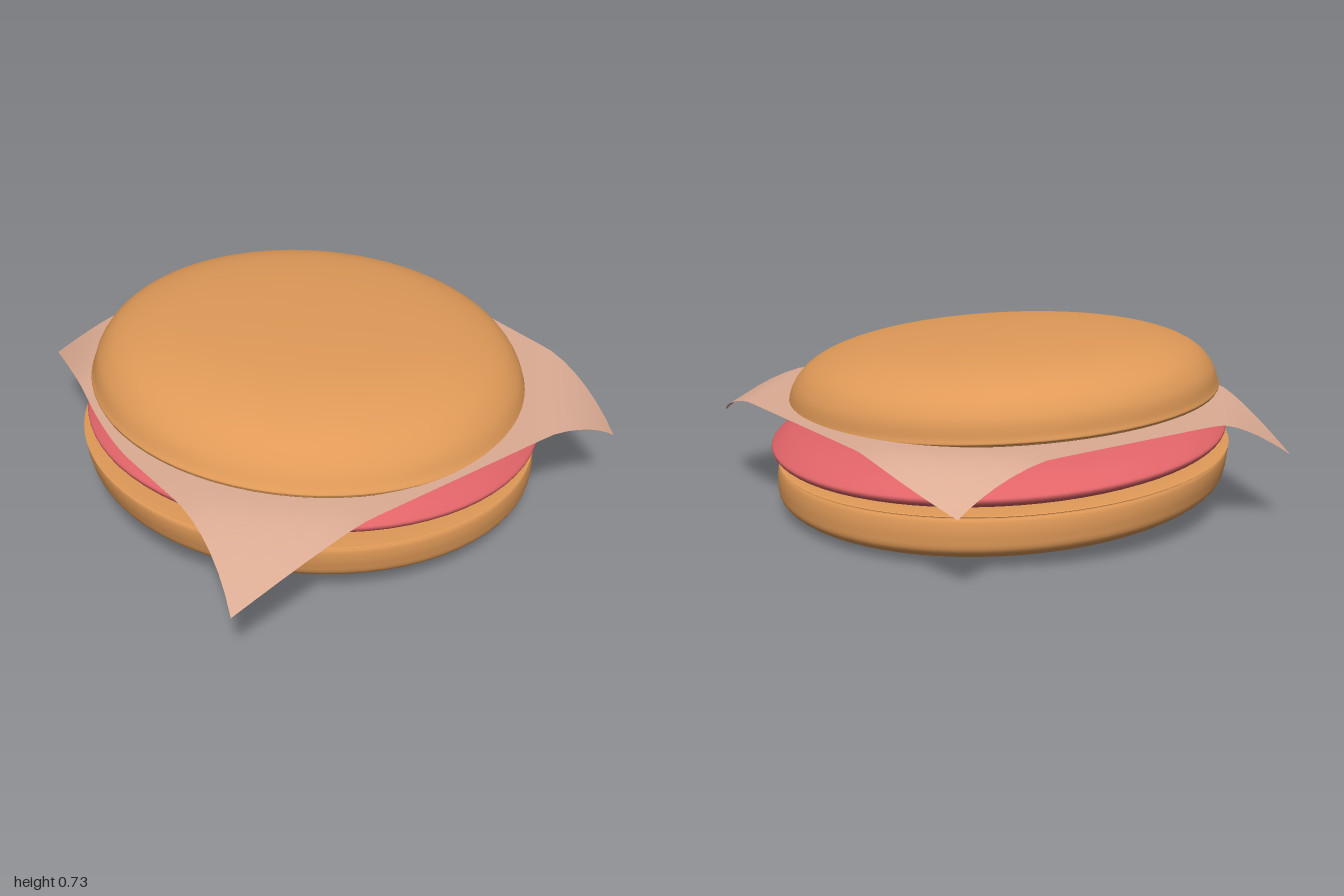
import * as THREE from 'three';

// Round layer: smooth lathe profile, tilted (tiltX, tiltZ) and leaning (leanX, leanZ)
function layer(name, color, profile, [cx, cy, cz], [tiltX, tiltZ], [leanX, leanZ]) {
  const curve = new THREE.SplineCurve(profile.map(([r, y]) => new THREE.Vector2(r, y)));
  const points = curve.getPoints(54);
  points.forEach((p) => { p.x = Math.max(0, p.x); });
  const geometry = new THREE.LatheGeometry(points, 72);
  geometry.applyMatrix4(new THREE.Matrix4().set(
    1, leanX, 0, cx,
    tiltX, 1, tiltZ, cy,
    0, leanZ, 1, cz,
    0, 0, 0, 1));
  const mesh = new THREE.Mesh(geometry, new THREE.MeshStandardMaterial({ color, side: THREE.DoubleSide }));
  mesh.name = name;
  return mesh;
}

// Thin square slice whose corners droop and pull inwards
function cheeseSlice() {
  const geometry = new THREE.PlaneGeometry(2, 2, 24, 24);
  geometry.rotateX(-Math.PI / 2);
  const pos = geometry.attributes.position;
  for (let i = 0; i < pos.count; i++) {
    const u = pos.getX(i), v = pos.getZ(i);
    const reach = Math.abs(u) + Math.abs(v);
    const t = Math.max(0, (reach - 1.48) / 0.52);
    let x = 0.035 + 0.935 * u;
    let z = 0.037 + 0.933 * v;
    if (u < 0 && v < 0) {
      // back right corner is dragged sideways and out
      z -= 0.085 * Math.max(0, (reach - 1.3) / 0.7) ** 2;
    } else {
      x -= 0.105 * t * t;
    }
    x += 0.28 * Math.max(0, (0.1 - v) / 1.1) ** 1.5 * Math.max(0, -u) ** 1.5;
    pos.setXYZ(i, x, 0.457 - 0.145 * t ** 1.4, z);
  }
  geometry.computeVertexNormals();
  const mesh = new THREE.Mesh(geometry,
    new THREE.MeshStandardMaterial({ color: 0xdcac94, side: THREE.DoubleSide }));
  mesh.name = 'cheeseSlice';
  return mesh;
}

export function createModel() {
  const group = new THREE.Group();
  group.name = 'burger';
  const bun = 0xe09a58;

  group.add(layer('bottomBun', bun, [
    [0, 0.035], [0.5, 0.038], [0.75, 0.05], [0.86, 0.072], [0.92, 0.11],
    [0.935, 0.16], [0.938, 0.21], [0.93, 0.24], [0.9, 0.25], [0.5, 0.25], [0, 0.25],
  ], [0.05, 0, 0.042], [-0.053, 0], [-0.12, 0]));

  group.add(layer('patty', 0xe06468, [
    [0, 0.26], [0.5, 0.26], [0.82, 0.266], [0.91, 0.285], [0.94, 0.312], [0.925, 0.335],
    [0.85, 0.375], [0.7, 0.41], [0.5, 0.427], [0.25, 0.437], [0, 0.44],
  ], [0.05, 0, 0.035], [-0.055, 0], [0, 0]));

  group.add(cheeseSlice());

  group.add(layer('topBun', bun, [
    [0, 0], [0.5, 0], [0.84, 0], [0.89, 0.01], [0.885, 0.035], [0.86, 0.1],
    [0.8, 0.165], [0.7, 0.212], [0.55, 0.245], [0.3, 0.266], [0, 0.274],
  ], [0.02, 0.46, 0.045], [-0.04, -0.025], [0.13, -0.18]));

  return group;
}
